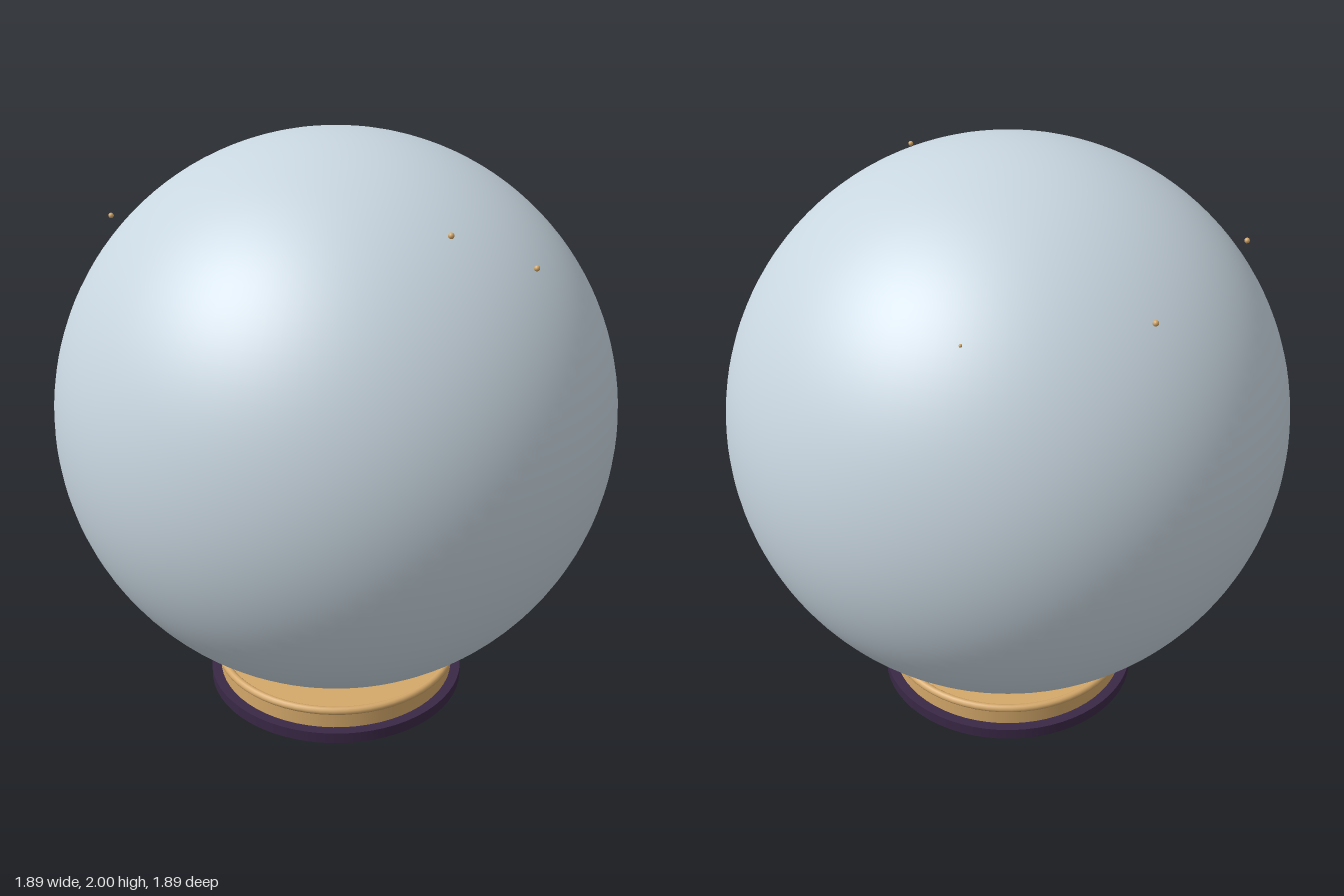
import * as THREE from 'three';

const glass = new THREE.MeshStandardMaterial({ name: 'pale glass', color: 0xc8d6e0 });
const gold = new THREE.MeshStandardMaterial({ name: 'warm gold', color: 0xd4a86a });
const plum = new THREE.MeshStandardMaterial({ name: 'dark plum', color: 0x3a2846 });

export function createModel() {
  const model = new THREE.Group();
  model.name = 'crystalBall';

  const add = (name, geometry, material, x, y, z) => {
    const mesh = new THREE.Mesh(geometry, material);
    mesh.name = name;
    mesh.position.set(x, y, z);
    model.add(mesh);
    return mesh;
  };

  // Stand: dark foot, gold collar and rounded rim
  add('foot', new THREE.CylinderGeometry(0.465, 0.465, 0.04, 64), plum, 0, 0.02, 0);
  add('collar', new THREE.CylinderGeometry(0.43, 0.43, 0.07, 64), gold, 0, 0.075, 0);
  add('rim', new THREE.TorusGeometry(0.43, 0.014, 12, 64), gold, 0, 0.109, 0).rotation.x = Math.PI / 2;

  // Ball
  add('ball', new THREE.SphereGeometry(0.945, 96, 64), glass, 0, 1.055, 0);

  // Tiny gold sparks floating just off the ball: x, y, z, radius
  const sparks = [
    [0.58, 1.82, 0.39, 0.009],
    [0.73, 1.68, 0.11, 0.009],
    [-0.7, 1.7, 0.275, 0.009],
    [-0.65, 1.68, -0.41, 0.009],
    [-0.225, 1.663, -0.74, 0.005],
  ];
  for (const [x, y, z, r] of sparks) add('spark', new THREE.SphereGeometry(r, 12, 8), gold, x, y, z);

  return model;
}
